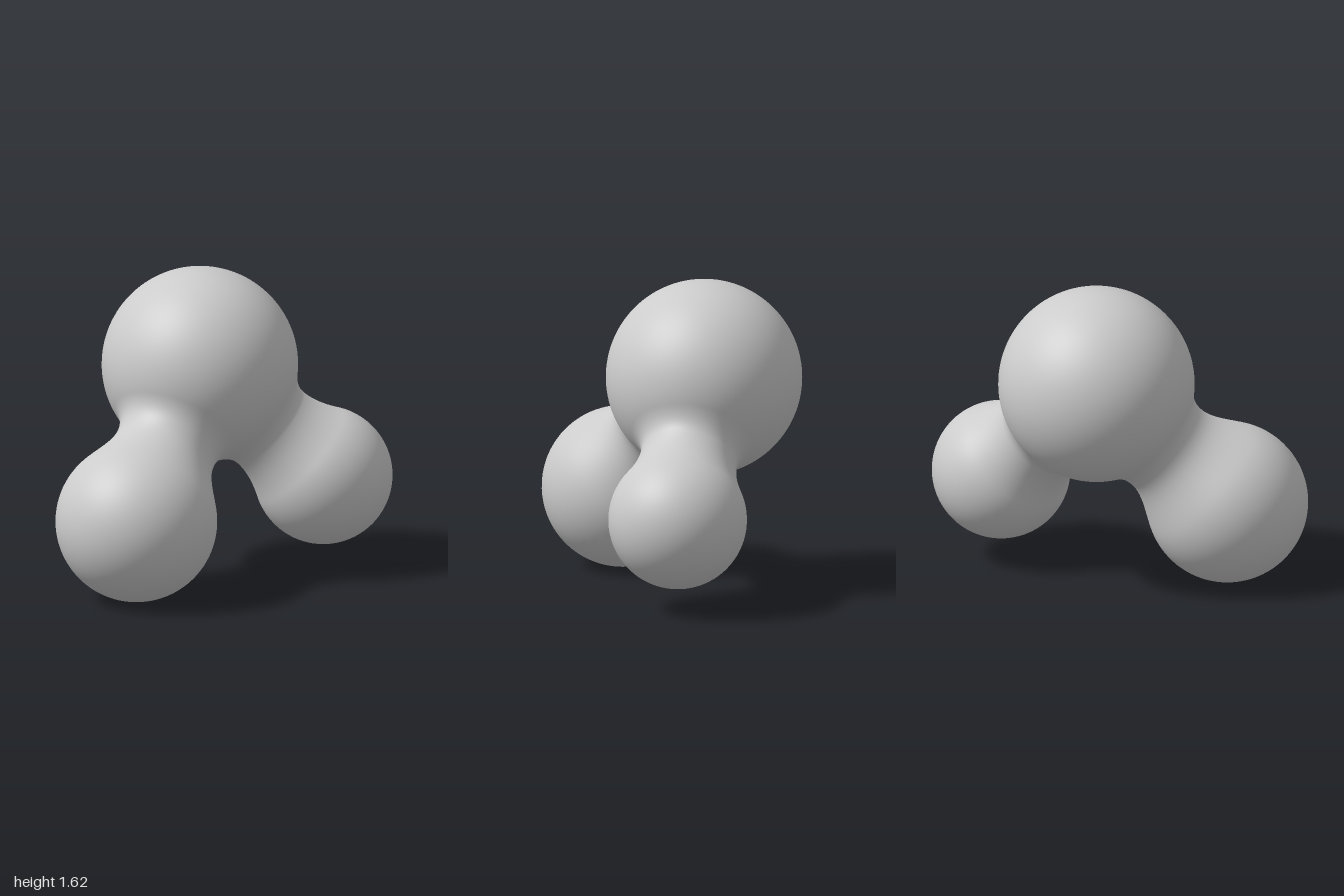
import * as THREE from 'three';

const BODY = { center: new THREE.Vector3(-0.09, 1.11, -0.06), radius: 0.51 };

// Smooth blend between two profile points with given slopes
function hermite(points, [t0, r0, s0], [t1, r1, s1], steps = 20) {
  const h = t1 - t0;
  for (let i = 0; i < steps; i++) {
    const u = i / steps, u2 = u * u, u3 = u2 * u;
    const r = (2 * u3 - 3 * u2 + 1) * r0 + (u3 - 2 * u2 + u) * h * s0
      + (3 * u2 - 2 * u3) * r1 + (u3 - u2) * h * s1;
    points.push(new THREE.Vector2(r, t0 + h * u));
  }
}

// Ball with a waisted neck that flows tangentially out of the body.
// start, waist: distances from the body centre; overlap: where the neck meets the ball
function lobe(name, center, radius, start, waist, waistRadius, overlap, material) {
  const axis = center.clone().sub(BODY.center);
  const length = axis.length();
  axis.normalize();

  const startRadius = Math.sqrt(BODY.radius ** 2 - start ** 2);
  const ballRadius = Math.sqrt(radius ** 2 - overlap ** 2);
  const points = [];
  hermite(points, [start, startRadius, -start / startRadius], [waist, waistRadius, 0]);
  hermite(points, [waist, waistRadius, 0], [length - overlap, ballRadius, overlap / ballRadius]);

  // Remaining part of the ball, out to its tip
  const first = Math.atan2(-overlap, ballRadius);
  for (let i = 0; i <= 48; i++) {
    const a = first + (Math.PI / 2 - first) * i / 48;
    points.push(new THREE.Vector2(Math.max(0, radius * Math.cos(a)), length + radius * Math.sin(a)));
  }

  const mesh = new THREE.Mesh(new THREE.LatheGeometry(points, 80), material);
  mesh.name = name;
  mesh.position.copy(BODY.center);
  mesh.quaternion.setFromUnitVectors(new THREE.Vector3(0, 1, 0), axis);
  return mesh;
}

export function createModel() {
  const group = new THREE.Group();
  group.name = 'blendedSpheres';
  const material = new THREE.MeshStandardMaterial({ color: 0xcccccc });

  // Large central ball
  const body = new THREE.Mesh(new THREE.SphereGeometry(BODY.radius, 96, 64), material);
  body.name = 'mainBall';
  body.position.copy(BODY.center);
  group.add(body);

  // Two smaller balls joined to it by necks
  group.add(
    lobe('frontBall', new THREE.Vector3(0.175, 0.42, 0.575), 0.42, 0.39, 0.525, 0.266, 0.19, material),
    lobe('backBall', new THREE.Vector3(0.21, 0.485, -0.64), 0.36, 0.395, 0.515, 0.252, 0.17, material)
  );
  return group;
}
